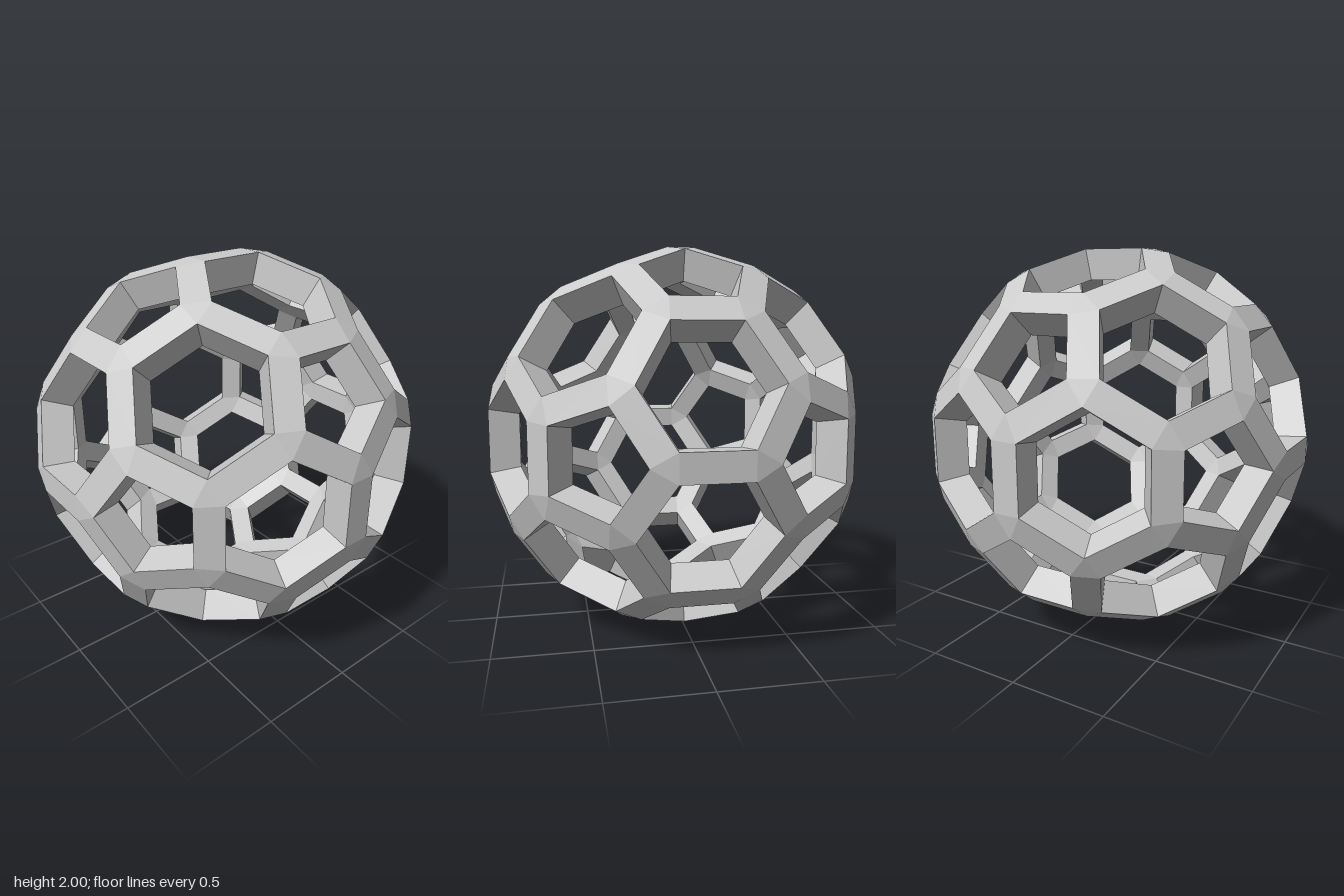
import * as THREE from 'three';

const PHI = (1 + Math.sqrt(5)) / 2;
const HEX_INSET = 0.796;                          // size of a hexagonal opening relative to its face
const SCALE = 1 / (PHI ** 3 + HEX_INSET / PHI);   // outermost struts land on radius 1
const MARGIN = (1 - HEX_INSET) * Math.sqrt(3) * SCALE; // face edge to opening edge
const PENT_INSET = 1 - MARGIN / (SCALE / Math.tan(Math.PI / 5));
const INNER = 0.84;                               // inner shell relative to the outer shell

// All sign changes and cyclic shifts of a coordinate triple
function spread(x, y, z) {
  const found = new Map();
  for (const sx of [1, -1]) for (const sy of [1, -1]) for (const sz of [1, -1]) {
    const c = [x * sx, y * sy, z * sz];
    for (let k = 0; k < 3; k++) {
      const p = new THREE.Vector3(c[k], c[(k + 1) % 3], c[(k + 2) % 3]);
      found.set(p.toArray().map(n => Math.round(n * 1000) + 0).join(), p);
    }
  }
  return [...found.values()];
}

// Sort items counter-clockwise around an axis pointing outwards
function sortAround(items, axis, position) {
  const n = axis.clone().normalize();
  const u = position(items[0]).clone().projectOnPlane(n).normalize();
  const v = n.clone().cross(u);
  const angle = item => Math.atan2(position(item).dot(v), position(item).dot(u));
  return items.map(item => [angle(item), item]).sort((a, b) => a[0] - b[0]).map(e => e[1]);
}

// Flat-shaded mesh from a list of convex polygons
function polygonMesh(name, polygons) {
  const pos = [];
  for (const p of polygons)
    for (let i = 1; i < p.length - 1; i++)
      for (const q of [p[0], p[i], p[i + 1]]) pos.push(q.x, q.y, q.z);
  const geometry = new THREE.BufferGeometry();
  geometry.setAttribute('position', new THREE.Float32BufferAttribute(pos, 3));
  geometry.computeVertexNormals();
  const mesh = new THREE.Mesh(geometry, new THREE.MeshStandardMaterial({ color: 0xcccccc, flatShading: true }));
  mesh.name = name;
  return mesh;
}

export function createModel() {
  // 60 corners of a truncated icosahedron
  const vertices = [
    ...spread(1, 0, 3 * PHI),
    ...spread(2 + PHI, 1, 2 * PHI),
    ...spread(2, PHI, 2 * PHI + 1),
  ].map(v => v.multiplyScalar(SCALE));

  // 12 pentagons and 20 hexagons, each with the corners of its inset opening
  const axes = [...spread(PHI, 1, 0), ...spread(0, 1 / PHI, PHI), ...spread(1, 1, 1)];
  const faces = axes.map(axis => {
    const reach = Math.max(...vertices.map(v => v.dot(axis)));
    const ids = vertices.map((v, i) => i).filter(i => vertices[i].dot(axis) > reach - 1e-4);
    const ring = sortAround(ids, axis, i => vertices[i]);
    const center = new THREE.Vector3();
    ring.forEach(i => center.addScaledVector(vertices[i], 1 / ring.length));
    const inset = ring.length === 5 ? PENT_INSET : HEX_INSET;
    const corner = new Map(ring.map(i => [i, center.clone().lerp(vertices[i], inset)]));
    return { ring, center, corner };
  });

  const inner = p => p.clone().multiplyScalar(INNER);

  // Struts: an outer strip, an inner strip and two radial walls along every edge
  const struts = [];
  for (const face of faces) {
    face.ring.forEach((a, i) => {
      const b = face.ring[(i + 1) % face.ring.length];
      if (a > b) return;
      const other = faces.find(f => f !== face && f.corner.has(a) && f.corner.has(b));
      const p = [other.corner.get(a), other.corner.get(b), face.corner.get(b), face.corner.get(a)];
      const q = p.map(inner);
      struts.push(p, [...q].reverse(), [p[0], q[0], q[1], p[1]], [p[2], q[2], q[3], p[3]]);
    });
  }

  // Joints: triangles filling the gap where three struts meet, outside and inside
  const joints = [];
  vertices.forEach((v, i) => {
    const around = sortAround(faces.filter(f => f.corner.has(i)), v, f => f.center);
    const p = around.map(f => f.corner.get(i));
    joints.push(p, p.map(inner).reverse());
  });

  const group = new THREE.Group();
  group.name = 'sphericalFrame';
  group.add(polygonMesh('struts', struts), polygonMesh('joints', joints));
  group.children.forEach(mesh => { mesh.position.y = 1; });
  return group;
}
